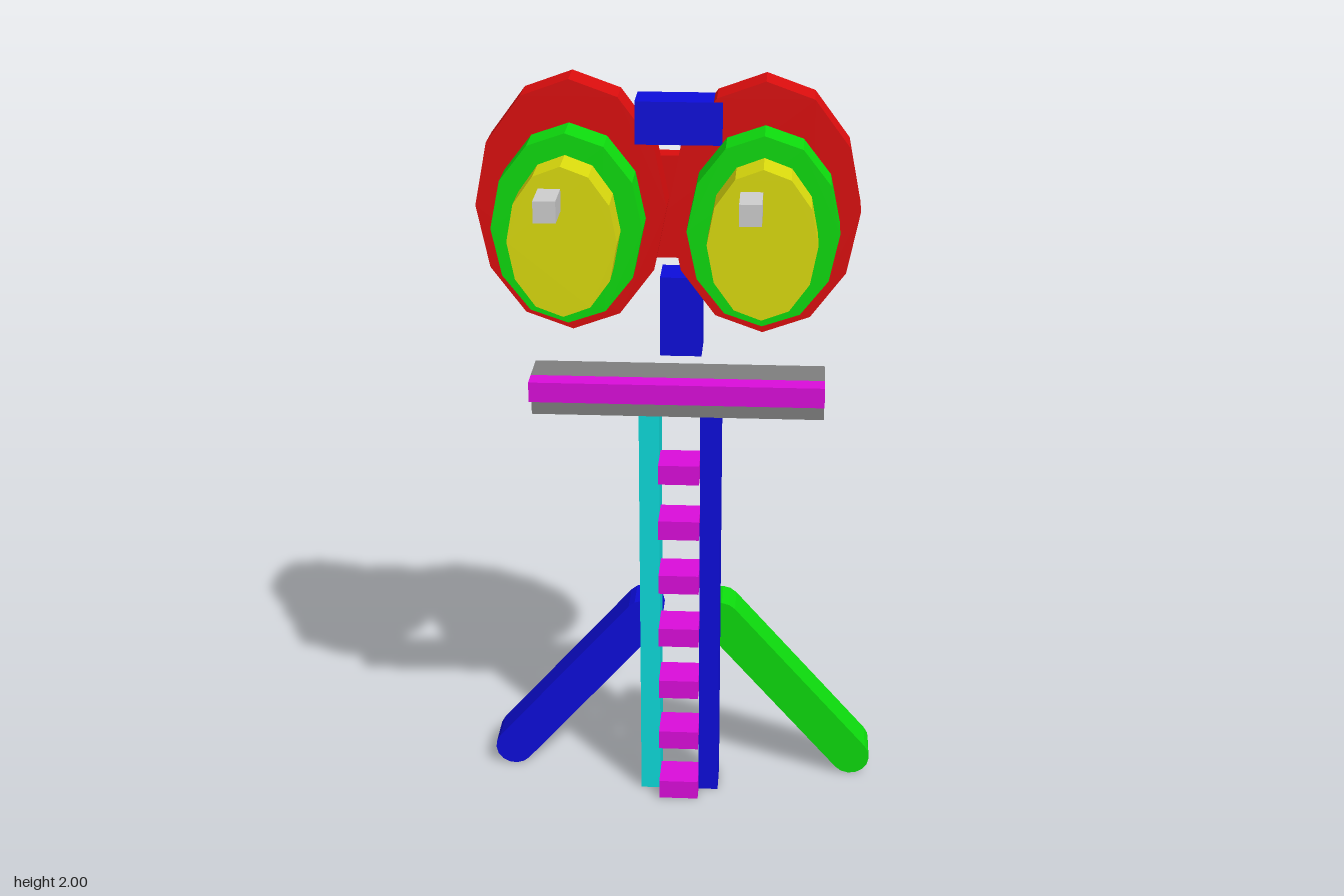
import * as THREE from 'three';

const mat = (name, color) => {
  const m = new THREE.MeshStandardMaterial({ color });
  m.name = name;
  return m;
};

export function createModel() {
  const red = mat('red', 0xdc0d0d);
  const green = mat('green', 0x0ddc0d);
  const yellow = mat('yellow', 0xdcdc0d);
  const blue = mat('blue', 0x0d0ddc);
  const cyan = mat('cyan', 0x0ddcdc);
  const magenta = mat('magenta', 0xdc0ddc);
  const grey = mat('grey', 0x7f7f7f);
  const lightGrey = mat('light grey', 0xcfcfcf);

  const model = new THREE.Group();
  model.name = 'standWithTwinDiscs';

  const add = (parent, name, geometry, material) => {
    const mesh = new THREE.Mesh(geometry, material);
    mesh.name = name;
    parent.add(mesh);
    return mesh;
  };

  // Box given by its extents on each axis
  const box = (parent, name, material, [x0, x1], [y0, y1], [z0, z1]) => {
    const g = new THREE.BoxGeometry(x1 - x0, y1 - y0, z1 - z0);
    g.translate((x0 + x1) / 2, (y0 + y1) / 2, (z0 + z1) / 2);
    return add(parent, name, g, material);
  };

  // Outline extruded between two depths, with flat facets
  const plate = (parent, name, material, points, z0, z1) => {
    const g = new THREE.ExtrudeGeometry(new THREE.Shape(points), { depth: z1 - z0, bevelEnabled: false });
    g.translate(0, 0, z0);
    return add(parent, name, g, material);
  };

  // Twelve-sided oval outline
  const oval = (cx, cy, rx, ry) => Array.from({ length: 12 }, (_, i) => {
    const a = (i * Math.PI) / 6;
    return new THREE.Vector2(cx + rx * Math.cos(a), cy + ry * Math.sin(a));
  });

  // Bar outline with rounded ends between two points
  const roundedBar = (ax, ay, bx, by, r, steps = 8) => {
    const dir = Math.atan2(by - ay, bx - ax);
    const pts = [];
    for (const [x, y, start] of [[bx, by, dir - Math.PI / 2], [ax, ay, dir + Math.PI / 2]]) {
      for (let i = 0; i <= steps; i++) {
        const a = start + (i * Math.PI) / steps;
        pts.push(new THREE.Vector2(x + r * Math.cos(a), y + r * Math.sin(a)));
      }
    }
    return pts;
  };

  // Two stepped oval discs, each with a square pin
  for (const [side, x] of [['right', -0.264], ['left', 0.209]]) {
    const disc = new THREE.Group();
    disc.name = side + 'Disc';
    model.add(disc);
    plate(disc, 'outerDisc', red, oval(x, 1.685, 0.235, 0.315), -0.132, -0.03);
    plate(disc, 'middleDisc', green, oval(x, 1.659, 0.184, 0.236), -0.03, 0.076);
    plate(disc, 'innerDisc', yellow, oval(x, 1.659, 0.131, 0.184), 0.076, 0.182);
    box(disc, 'pin', lightGrey, [x - 0.053, x], [1.738, 1.79], [0.182, 0.287]);
  }

  // Head joints
  box(model, 'topBridge', blue, [-0.106, 0.106], [1.843, 1.948], [-0.133, -0.029]);
  box(model, 'backPlate', red, [-0.157, 0.157], [1.527, 1.79], [-0.186, -0.132]);
  box(model, 'neck', blue, [-0.053, 0.053], [1.264, 1.474], [-0.237, -0.132]);

  // Crossbar with its front trim
  box(model, 'crossbar', grey, [-0.368, 0.368], [1.159, 1.264], [-0.079, 0.025]);
  box(model, 'crossbarTrim', magenta, [-0.368, 0.368], [1.212, 1.264], [0.025, 0.078]);

  // Ladder: two posts and seven rungs
  box(model, 'rightPost', cyan, [-0.106, -0.053], [0, 1.212], [-0.185, -0.079]);
  box(model, 'leftPost', blue, [0.053, 0.106], [0, 1.212], [-0.185, -0.079]);
  for (let i = 0; i < 7; i++) {
    const y = i * 0.158;
    box(model, 'rung', magenta, [-0.053, 0.053], [y, y + 0.053], [-0.132, -0.027]);
  }

  // Splayed support legs
  plate(model, 'rightLeg', blue, roundedBar(-0.474, 0.053, -0.106, 0.474, 0.053), -0.29, -0.186);
  plate(model, 'leftLeg', green, roundedBar(0.474, 0.053, 0.106, 0.474, 0.053), -0.29, -0.186);

  return model;
}
